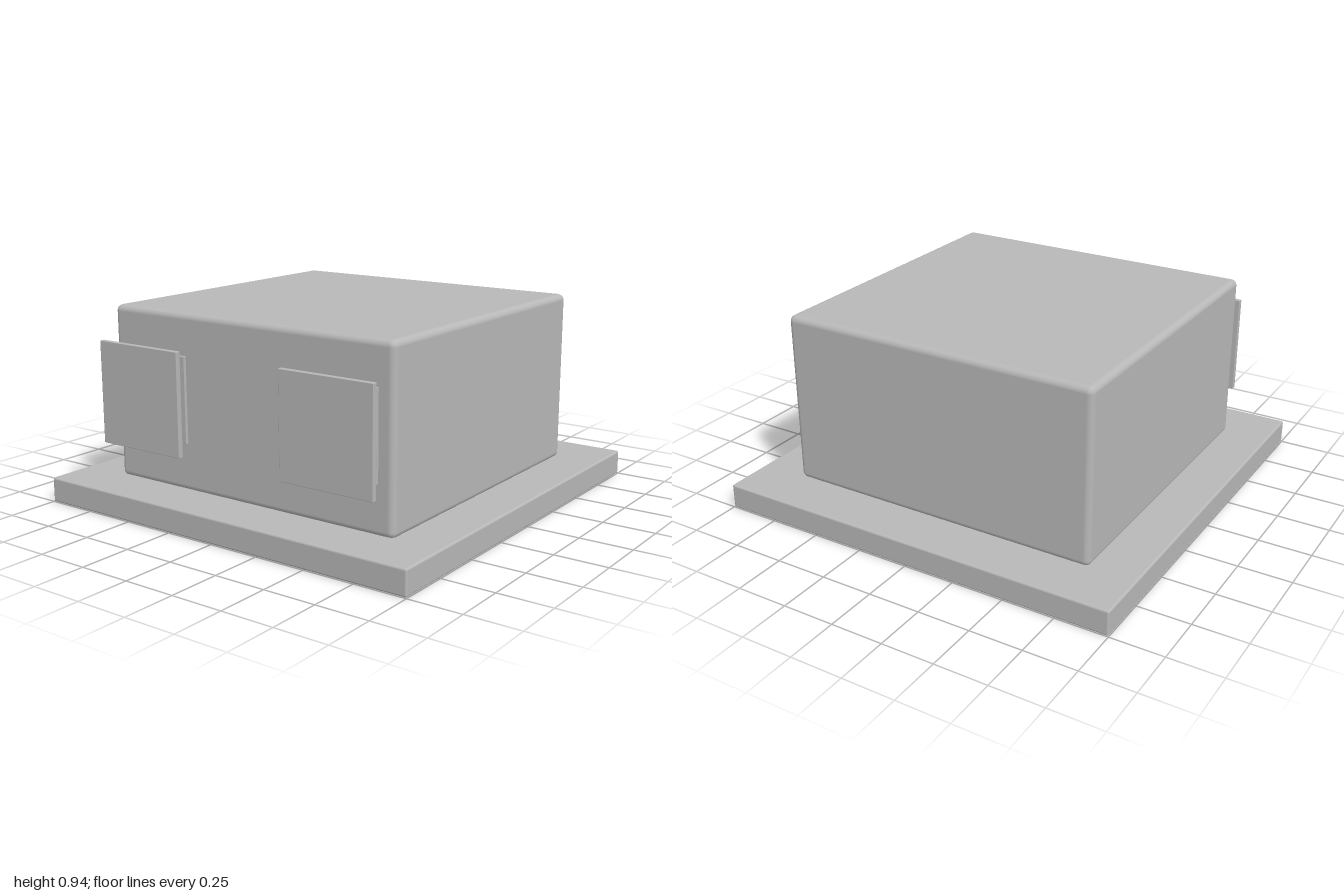
import * as THREE from 'three';
import { RoundedBoxGeometry } from 'three/addons/geometries/RoundedBoxGeometry.js';

export function createModel() {
  const model = new THREE.Group();
  model.name = 'boxOnBase';
  const grey = new THREE.MeshStandardMaterial({ name: 'plain grey', color: 0xb8b8b8 });

  // Rounded block given by its lower and upper corners
  function block(name, [x0, y0, z0], [x1, y1, z1], radius, segments = 4) {
    const geometry = new RoundedBoxGeometry(x1 - x0, y1 - y0, z1 - z0, segments, radius);
    const mesh = new THREE.Mesh(geometry, grey);
    mesh.position.set((x0 + x1) / 2, (y0 + y1) / 2, (z0 + z1) / 2);
    mesh.name = name;
    model.add(mesh);
    return mesh;
  }

  // Flat base slab and main body
  block('base', [-1, 0, -1], [1, 0.12, 1], 0.01);
  block('body', [-0.78, 0.11, -0.76], [0.78, 0.94, 0.76], 0.03);

  // Two floating front panels, each with a thinner backing plate
  for (const [side, s] of [['left', 1], ['right', -1]]) {
    const panel = block(side + 'Panel', [0.285, 0.305, 0.855], [0.76, 0.79, 0.88], 0.003, 2);
    const backing = block(side + 'BackingPlate', [0.325, 0.345, 0.775], [0.715, 0.75, 0.79], 0.002, 2);
    panel.position.x *= s;
    backing.position.x *= s;
  }

  return model;
}
